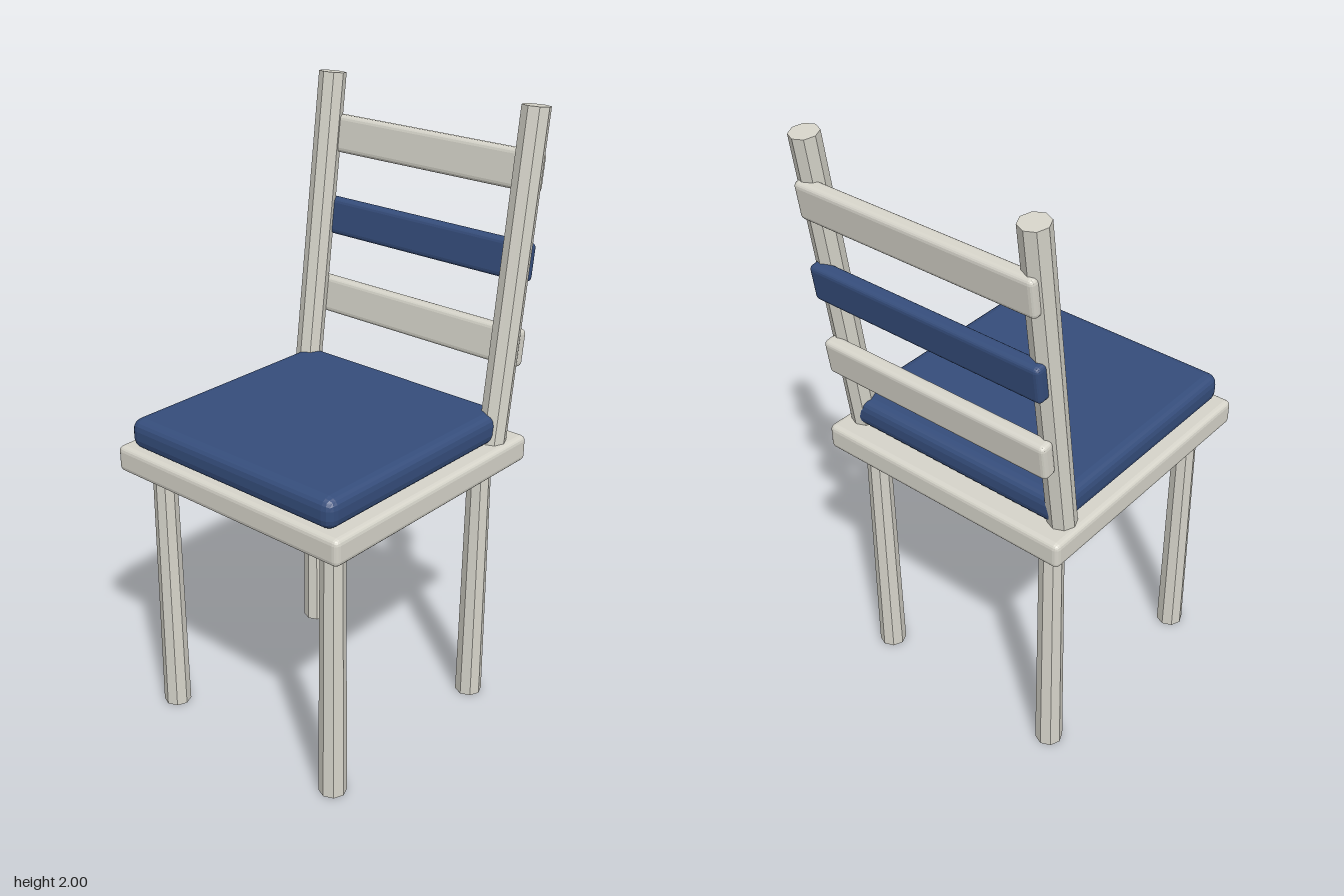
import * as THREE from 'three';
import { RoundedBoxGeometry } from 'three/addons/geometries/RoundedBoxGeometry.js';

const TILT = 0.13; // backward lean of the backrest

export function createModel() {
  const paint = new THREE.MeshStandardMaterial({ color: 0xd6d4ca, flatShading: true });
  paint.name = 'paleWood';
  const blue = new THREE.MeshStandardMaterial({ color: 0x354d7b, flatShading: true });
  blue.name = 'navyBlue';

  const chair = new THREE.Group();
  chair.name = 'chair';

  const add = (name, geometry, material, x, y, z, tilt = 0) => {
    const mesh = new THREE.Mesh(geometry, material);
    mesh.name = name;
    mesh.position.set(x, y, z);
    mesh.rotation.x = -tilt;
    chair.add(mesh);
  };

  // Seat board and cushion
  add('seat', new RoundedBoxGeometry(0.915, 0.087, 0.915, 2, 0.018), paint, 0, 0.922, 0.038);
  add('cushion', new RoundedBoxGeometry(0.834, 0.1, 0.834, 2, 0.035), blue, 0, 1.014, 0.059);

  // Octagonal legs, slightly wider at the foot, and leaning back posts
  const legGeometry = new THREE.CylinderGeometry(0.038, 0.045, 0.9, 8);
  const postLength = 1.055;
  const postGeometry = new THREE.CylinderGeometry(0.045, 0.045, postLength, 8);
  const postTop = { y: 1.994, z: -0.45 };
  for (const [side, s] of [['left', 1], ['right', -1]]) {
    add(`${side}FrontLeg`, legGeometry, paint, s * 0.355, 0.45, 0.395);
    add(`${side}BackLeg`, legGeometry, paint, s * 0.355, 0.45, -0.312);
    add(`${side}BackPost`, postGeometry, paint, s * 0.395,
      postTop.y - Math.cos(TILT) * postLength / 2,
      postTop.z + Math.sin(TILT) * postLength / 2, TILT);
  }

  // Three slats fixed behind the posts
  const slatGeometry = new RoundedBoxGeometry(0.84, 0.122, 0.05, 2, 0.016);
  add('lowerSlat', slatGeometry, paint, 0, 1.252, -0.409, TILT);
  add('middleSlat', slatGeometry, blue, 0, 1.523, -0.435, TILT);
  add('upperSlat', slatGeometry, paint, 0, 1.796, -0.459, TILT);

  return chair;
}
